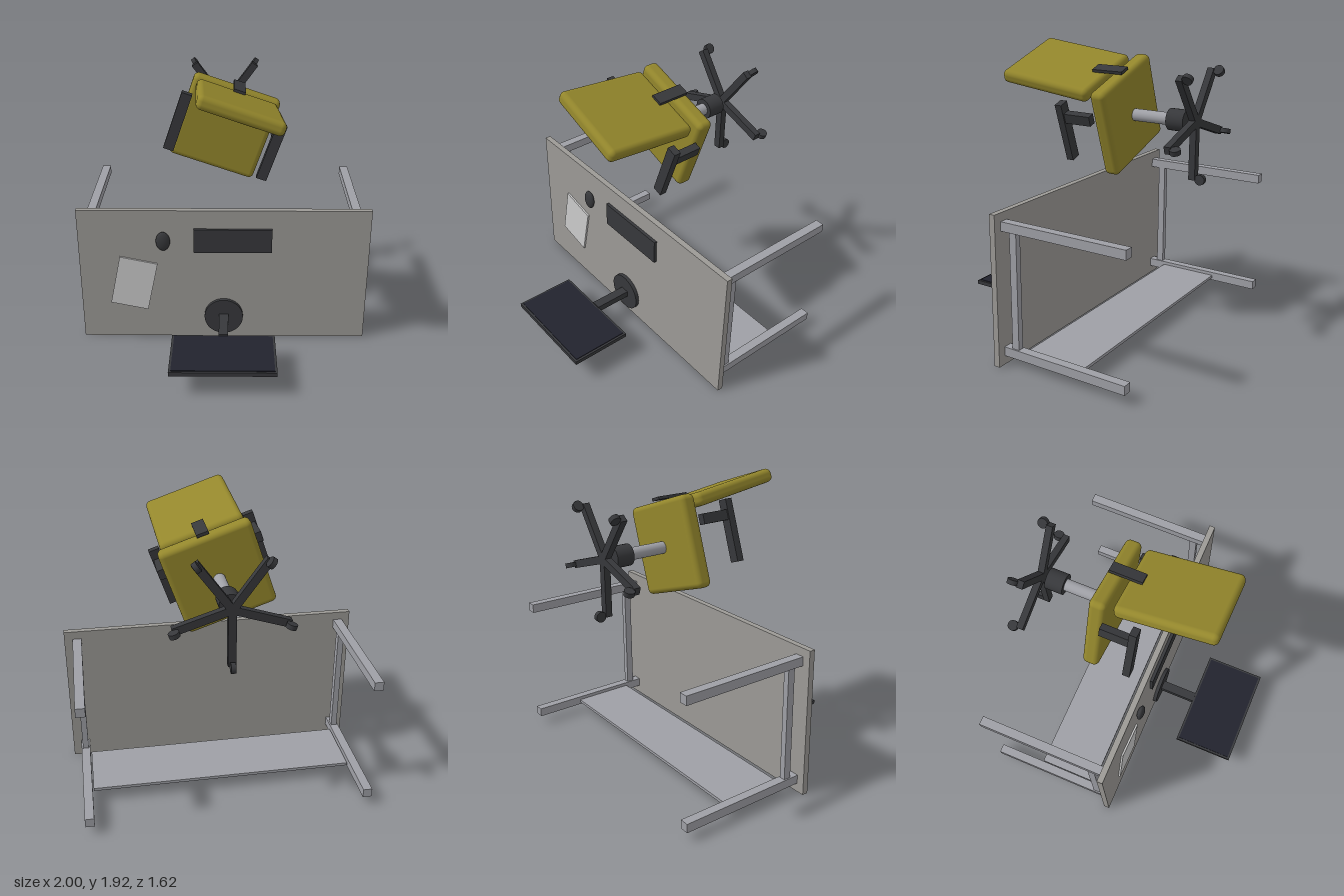
import * as THREE from 'three';
import { RoundedBoxGeometry } from 'three/addons/geometries/RoundedBoxGeometry.js';

const mat = (color) => new THREE.MeshStandardMaterial({ color });
const wood = mat(0x9c9a96), metal = mat(0x9fa0a6), dark = mat(0x37383b);
const screenMat = mat(0x22232e), paperMat = mat(0xcccccc), fabric = mat(0x94872c);

function add(parent, name, geometry, material, x, y, z) {
  const m = new THREE.Mesh(geometry, material);
  m.name = name;
  m.position.set(x, y, z);
  parent.add(m);
  return m;
}

const box = (w, h, d) => new THREE.BoxGeometry(w, h, d);
// Cylinder whose axis runs along z
const disc = (r, len, sides = 32) => new THREE.CylinderGeometry(r, r, len, sides).rotateX(Math.PI / 2);

function group(parent, name) {
  const g = new THREE.Group();
  g.name = name;
  parent.add(g);
  return g;
}

// The desk lies on its long edge: its working surface faces +z
function buildDesk(root) {
  const desk = group(root, 'desk');
  add(desk, 'deskTop', box(2, 1, 0.04), wood, 0, 0.5, 0.09);
  for (const side of [-1, 1]) {
    for (const y of [0.09, 0.915]) {
      add(desk, 'deskLeg', box(0.06, 0.06, 0.88), metal, side * 0.915, y, -0.37);
    }
    add(desk, 'sideRail', box(0.04, 0.765, 0.05), metal, side * 0.915, 0.5025, -0.011);
  }
  add(desk, 'modestyPanel', box(1.755, 0.02, 0.42), metal, 0, 0.09, -0.27);
}

// Objects on the working surface
function buildDeskItems(root) {
  const monitor = group(root, 'monitor');
  add(monitor, 'monitorBase', disc(0.136, 0.025, 40), dark, 0, 0.178, 0.1225);
  add(monitor, 'monitorStand', box(0.065, 0.046, 0.27), dark, 0, 0.178, 0.26);
  add(monitor, 'monitorBody', box(0.7, 0.028, 0.42), dark, 0, 0.178, 0.6);
  add(monitor, 'monitorScreen', box(0.67, 0.006, 0.39), screenMat, 0, 0.194, 0.6);

  add(root, 'keyboard', box(0.535, 0.175, 0.022), dark, 0.062, 0.778, 0.12);
  const mouse = add(root, 'mouse', new THREE.SphereGeometry(1, 24, 16), dark, -0.415, 0.778, 0.13);
  mouse.scale.set(0.049, 0.07, 0.024);
  const paper = add(root, 'paper', box(0.266, 0.373, 0.013), paperMat, -0.627, 0.44, 0.1165);
  paper.rotation.z = -0.21;
}

function buildChair(root) {
  const chair = group(root, 'chair');
  chair.position.y = 1.48;

  // Swivelled upper part: local +y is the rear of the seat, +z is up
  const upper = group(chair, 'chairUpper');
  upper.rotation.z = -0.332;
  add(upper, 'seat', new RoundedBoxGeometry(0.61, 0.59, 0.108, 4, 0.035), fabric, 0, 0, -0.237);
  const back = add(upper, 'backrest', new RoundedBoxGeometry(0.56, 0.09, 0.65, 4, 0.035), fabric, 0, 0.292, 0.178);
  back.rotation.x = -0.14;
  add(upper, 'backBracket', box(0.08, 0.02, 0.22), dark, 0, 0.312, -0.165);
  for (const side of [-1, 1]) {
    add(upper, 'armPad', box(0.07, 0.4, 0.048), dark, side * 0.325, 0.02, 0.025);
    add(upper, 'armSupport', box(0.05, 0.066, 0.19), dark, side * 0.325, 0.122, -0.092);
  }

  // Gas column
  add(chair, 'column', disc(0.04, 0.27, 24), metal, 0, 0, -0.43);
  add(chair, 'columnSleeve', disc(0.07, 0.12, 24), dark, 0, 0, -0.615);

  // Five-armed base with casters
  for (let i = 0; i < 5; i++) {
    const arm = group(chair, 'baseArm');
    arm.rotation.z = -Math.PI / 2 + (i * Math.PI * 2) / 5;
    add(arm, 'baseLeg', box(0.37, 0.05, 0.044), dark, 0.185, 0, -0.727);
    add(arm, 'caster', new THREE.CylinderGeometry(0.034, 0.034, 0.03, 20), dark, 0.365, 0, -0.777);
  }
}

export function createModel() {
  const root = new THREE.Group();
  root.name = 'deskAndChair';
  buildDesk(root);
  buildDeskItems(root);
  buildChair(root);
  return root;
}
